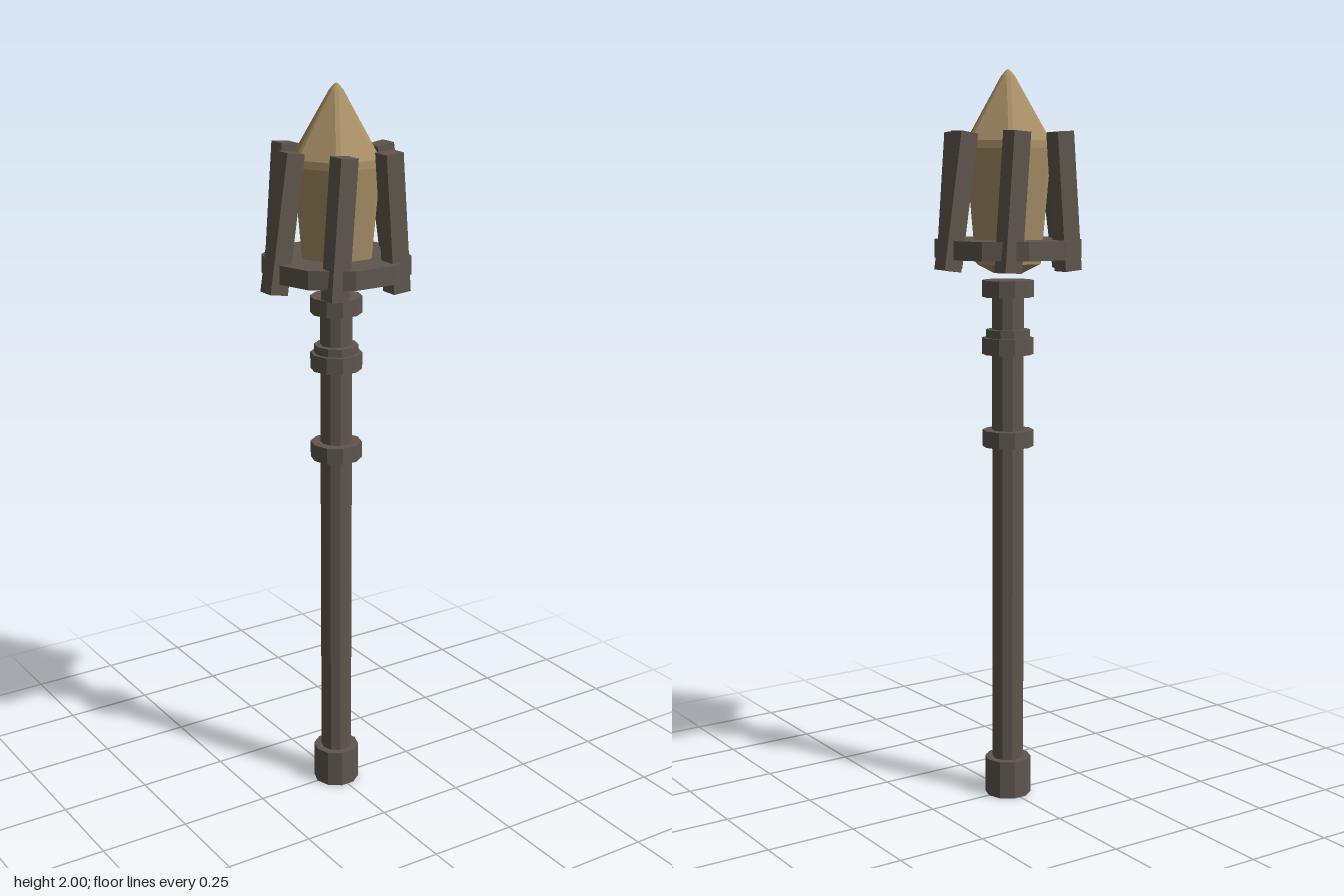
import * as THREE from 'three';

export function createModel() {
  const group = new THREE.Group();
  const metal = new THREE.MeshStandardMaterial({ color: 0x5f574e });
  metal.name = 'darkMetal';
  metal.flatShading = true;
  const amber = new THREE.MeshStandardMaterial({ color: 0xa89068 });
  amber.name = 'amberCrystal';
  amber.flatShading = true;

  const add = (name, geometry, material) => {
    const mesh = new THREE.Mesh(geometry, material);
    mesh.name = name;
    group.add(mesh);
    return mesh;
  };

  // Ten-sided drum with corners on the x axis, from y0 to y1
  const drum = (name, r, y0, y1) => {
    const g = new THREE.CylinderGeometry(r, r, y1 - y0, 10);
    g.rotateY(Math.PI / 2);
    g.translate(0, (y0 + y1) / 2, 0);
    add(name, g, metal);
  };

  // Handle with its foot and collars
  drum('foot', 0.064, 0, 0.105);
  drum('shaft', 0.043, 0.1, 1.41);
  drum('middleCollar', 0.07, 0.992, 1.037);
  drum('upperCollar', 0.07, 1.245, 1.29);
  drum('upperCollarStep', 0.06, 1.29, 1.312);
  drum('topCollar', 0.07, 1.4, 1.445);

  // Plate that carries the cage
  drum('cagePlate', 0.198, 1.505, 1.555);

  // Leaning cage bars: two at the sides, four at the corners
  const bar = (x, z, lean) => {
    const mesh = add('cageBar', new THREE.BoxGeometry(0.052, 0.364, 0.052), metal);
    mesh.position.set(x, 1.656, z);
    mesh.rotation.z = lean;
  };
  for (const s of [-1, 1]) {
    bar(s * 0.164, 0, s * 0.15);
    for (const z of [-0.143, 0.143]) bar(s * 0.082, z, s * 0.078);
  }

  // Six-sided crystal with narrow bevelled edges, lofted through [y, radius]
  const sections = [[1.465, 0.045], [1.49, 0.098], [1.795, 0.128], [1.815, 0.126], [1.985, 0.02], [2, 0.004]];
  const rings = sections.map(([y, r]) => {
    const bevel = Math.min(0.008 / r, 0.3);
    const corner = (k) => new THREE.Vector3(r * Math.cos(k * Math.PI / 3), y, -r * Math.sin(k * Math.PI / 3));
    const ring = [];
    for (let k = 0; k < 6; k++) {
      ring.push(corner(k).lerp(corner(k - 1), bevel), corner(k).lerp(corner(k + 1), bevel));
    }
    return ring;
  });
  const points = [];
  const bottom = new THREE.Vector3(0, sections[0][0], 0);
  const tip = new THREE.Vector3(0, 2, 0);
  for (let j = 0; j < 12; j++) {
    const n = (j + 1) % 12;
    for (let i = 0; i < rings.length - 1; i++) {
      const a = rings[i], b = rings[i + 1];
      points.push(a[j], a[n], b[n], a[j], b[n], b[j]);
    }
    points.push(bottom, rings[0][n], rings[0][j]);
    points.push(tip, rings[rings.length - 1][j], rings[rings.length - 1][n]);
  }
  const crystal = new THREE.BufferGeometry().setFromPoints(points);
  crystal.computeVertexNormals();
  add('crystal', crystal, amber);

  return group;
}
